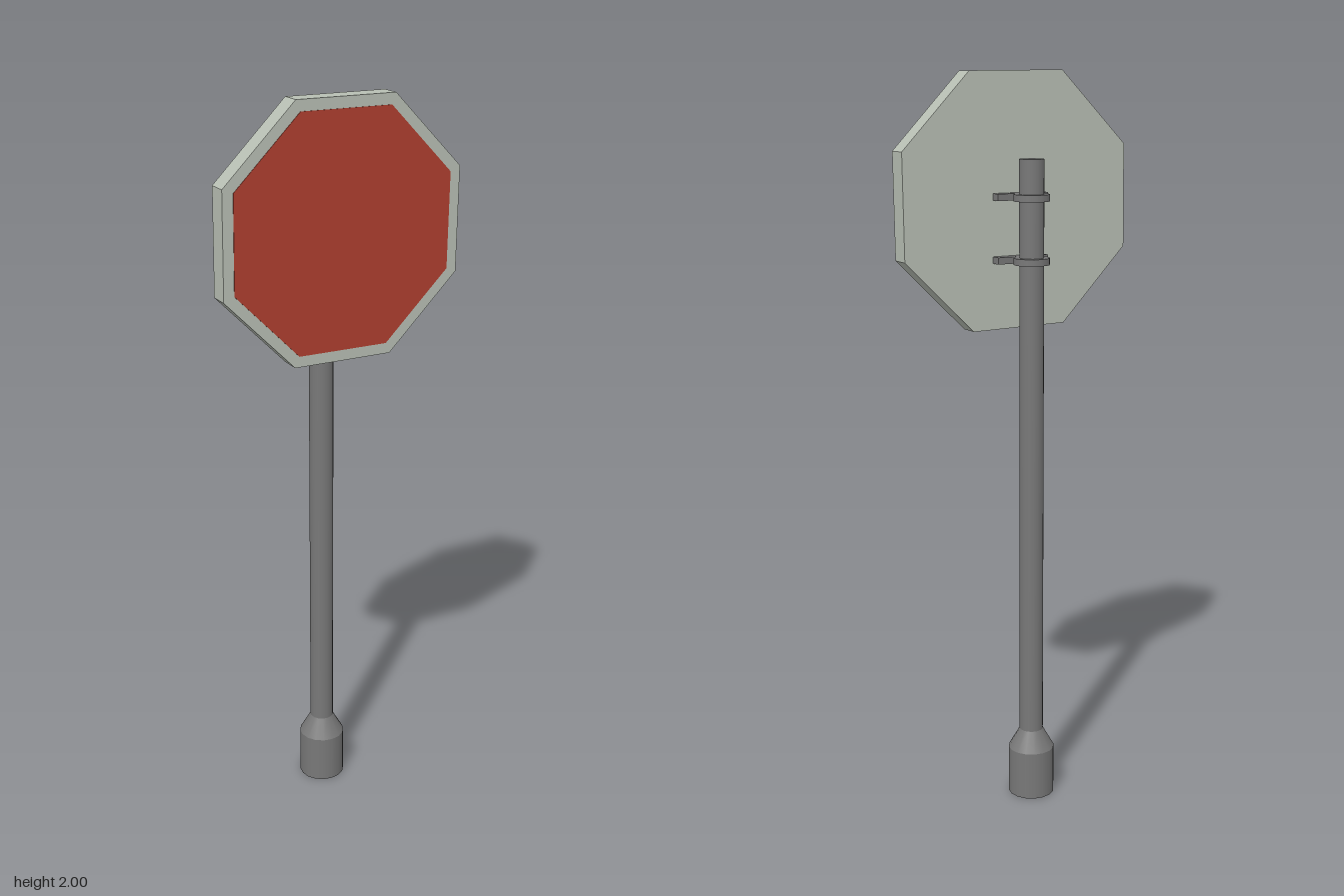
import * as THREE from 'three';

export function createModel() {
  const model = new THREE.Group();
  const steel = new THREE.MeshStandardMaterial({ color: 0x787878 });
  steel.name = 'grey steel';
  const plateGrey = new THREE.MeshStandardMaterial({ color: 0xb8bfb4 });
  plateGrey.name = 'pale grey';
  const red = new THREE.MeshStandardMaterial({ color: 0xb03f30 });
  red.name = 'sign red';

  const POST_Z = -0.031;
  const SIGN_Y = 1.662;

  function add(name, geometry, material, x, y, z, parent = model) {
    const mesh = new THREE.Mesh(geometry, material);
    mesh.name = name;
    mesh.position.set(x, y, z);
    parent.add(mesh);
    return mesh;
  }

  // Upright round section between two heights
  function column(name, rTop, rBottom, y0, y1, sides, parent, open = false) {
    const g = new THREE.CylinderGeometry(rTop, rBottom, y1 - y0, sides, 1, open);
    return add(name, g, steel, 0, (y0 + y1) / 2, POST_Z, parent);
  }

  // Octagonal slab, tilted very slightly clockwise
  function octagon(halfWidth, depth, tilt) {
    const radius = halfWidth / Math.cos(Math.PI / 8);
    const points = [];
    for (let i = 0; i < 8; i++) {
      const a = (i + 0.5) * Math.PI / 4 - tilt;
      points.push(new THREE.Vector2(Math.cos(a) * radius, Math.sin(a) * radius));
    }
    return new THREE.ExtrudeGeometry(new THREE.Shape(points), { depth, bevelEnabled: false });
  }

  // Post with its foot
  column('footSleeve', 0.064, 0.064, 0, 0.135, 16);
  column('footCollar', 0.033, 0.064, 0.135, 0.19, 16, model, true);
  column('post', 0.033, 0.033, 0.15, 1.775, 16);

  // Sign plate and its red face
  add('signPlate', octagon(0.336, 0.055, 0.011), plateGrey, 0, SIGN_Y, 0.04);
  add('signFace', octagon(0.307, 0.002, 0.013), red, 0, SIGN_Y, 0.0945);

  // Two clamps holding the plate to the post
  for (const y of [1.676, 1.511]) {
    const clamp = new THREE.Group();
    clamp.name = 'clamp';
    model.add(clamp);
    column('clampRing', 0.048, 0.048, y - 0.009, y + 0.009, 16, clamp);
    add('clampBar', new THREE.BoxGeometry(0.152, 0.018, 0.03), steel, 0, y, 0.027, clamp);
  }
  return model;
}
